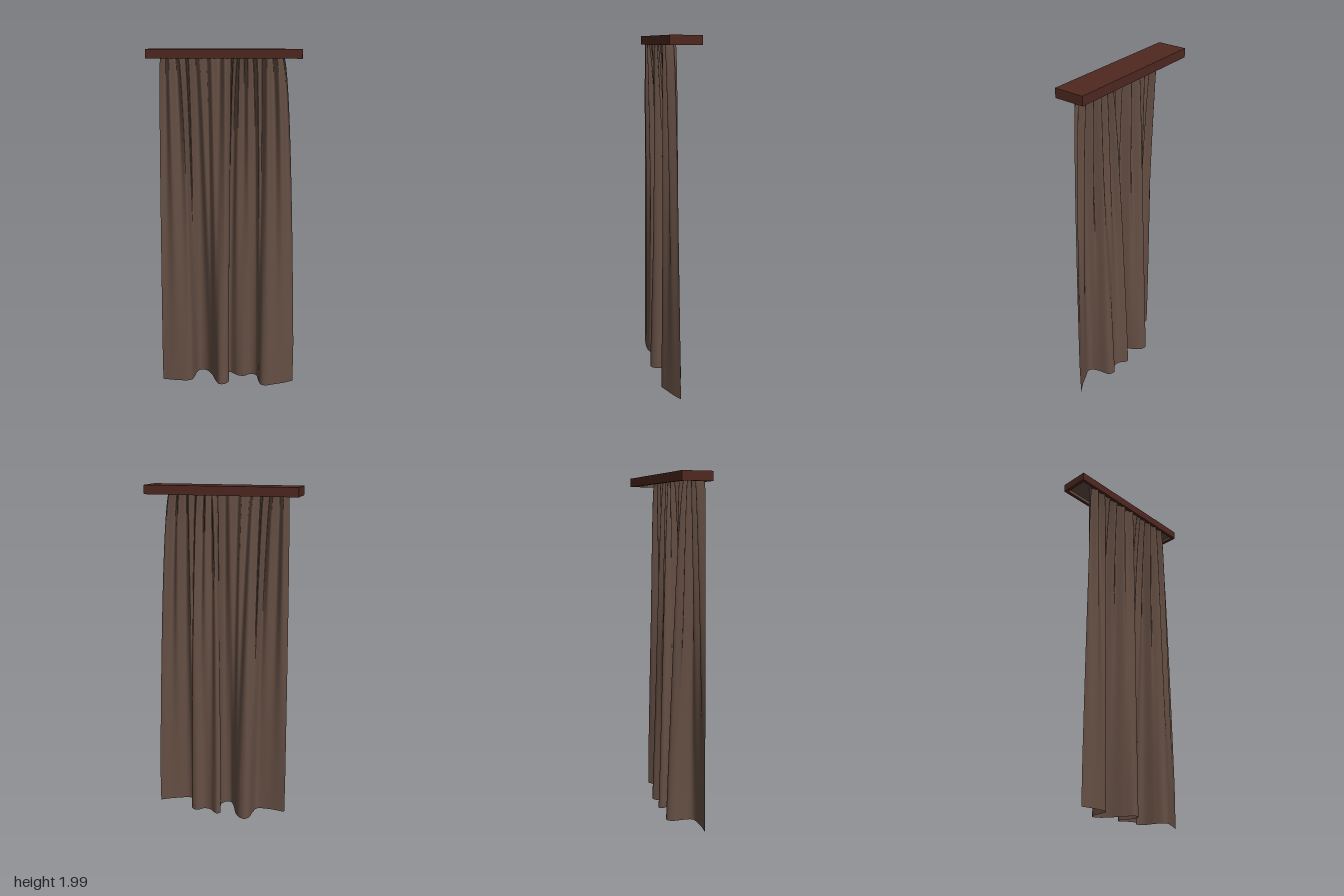
import * as THREE from 'three';

const wood = new THREE.MeshStandardMaterial({ color: 0x4f2820 });
wood.name = 'dark red wood';
const fabric = new THREE.MeshStandardMaterial({ color: 0x654f44, side: THREE.DoubleSide });
fabric.name = 'brown fabric';

const HEM = 0.006, TOP = 1.965; // the cloth's top is tucked inside the pelmet
const WIDTH = 0.86, DEPTH = 0.17, Z = -0.015, WALL = 0.016;

function add(group, name, geometry, material) {
  const mesh = new THREE.Mesh(geometry, material);
  mesh.name = name;
  group.add(mesh);
}

// Horizontal rectangular frame of the given wall thickness, standing on y
function frame(w, d, wall, h, y) {
  const rect = (P, a, b) => new P([
    new THREE.Vector2(-a, -b), new THREE.Vector2(a, -b),
    new THREE.Vector2(a, b), new THREE.Vector2(-a, b)]);
  const shape = rect(THREE.Shape, w / 2, d / 2);
  shape.holes.push(rect(THREE.Path, w / 2 - wall, d / 2 - wall));
  return new THREE.ExtrudeGeometry(shape, { depth: h, bevelEnabled: false })
    .rotateX(-Math.PI / 2).translate(0, y, Z);
}

// Hanging cloth: tight gathers at the top open into broad folds at the hem
function curtainGeometry() {
  const hem = new THREE.CatmullRomCurve3([
    [-0.375, 0.07], [-0.27, 0.077], [-0.2, 0.063], [-0.185, 0.01], [-0.176, -0.055],
    [-0.155, -0.08], [-0.12, -0.072], [-0.085, -0.03], [-0.05, 0.05], [-0.02, 0.096],
    [0.01, 0.092], [0.032, 0.06], [0.024, 0], [0.01, -0.05], [0.03, -0.067],
    [0.08, -0.03], [0.12, -0.026], [0.16, -0.058], [0.196, -0.045], [0.216, 0.03],
    [0.235, 0.072], [0.262, 0.08], [0.31, 0.06], [0.37, 0.033], [0.425, 0],
  ].map(([x, z]) => new THREE.Vector3(x, 0, z)), false, 'centripetal');
  const columns = 240, rows = 48;
  const points = hem.getSpacedPoints(columns);
  const geometry = new THREE.PlaneGeometry(1, 1, columns, rows);
  const pos = geometry.attributes.position;
  for (let i = 0; i < pos.count; i++) {
    const c = i % (columns + 1);
    const t = (Math.floor(i / (columns + 1)) / rows) ** 1.3; // finer rows near the top
    const u = c / columns, p = points[c];
    const spread = Math.min(1, t / 0.88) ** 0.55;
    const gather = 0.026 * (1 - t) ** 1.6 * Math.sin(79 * u + 2.3);
    // the middle fold leans towards the left as it rises
    const topX = -0.348 + 0.675 * u + 0.045 * Math.exp(-(((u - 0.5) / 0.13) ** 2));
    const x = THREE.MathUtils.lerp(topX, p.x, spread);
    const z = THREE.MathUtils.lerp(0.039, p.z, t ** 0.72) + gather;
    pos.setXYZ(i, x, THREE.MathUtils.lerp(TOP, HEM, t), z);
  }
  geometry.computeVertexNormals();
  return geometry;
}

export function createModel() {
  const model = new THREE.Group();
  model.name = 'curtain';

  // Pelmet: shallow tray open underneath
  const pelmet = new THREE.Group();
  pelmet.name = 'pelmet';
  add(pelmet, 'pelmetTop', new THREE.BoxGeometry(WIDTH, 0.025, DEPTH).translate(0, 1.9875, Z), wood);
  add(pelmet, 'pelmetSides', frame(WIDTH, DEPTH, WALL, 0.025, 1.95), wood);

  // Fabric lining inside the tray
  const innerWidth = WIDTH - 2 * WALL, innerDepth = DEPTH - 2 * WALL;
  add(pelmet, 'liningSides', frame(innerWidth, innerDepth, 0.003, 0.024, 1.951), fabric);
  add(pelmet, 'liningTop',
    new THREE.BoxGeometry(innerWidth, 0.005, innerDepth).translate(0, 1.9725, Z), fabric);
  model.add(pelmet);

  add(model, 'drape', curtainGeometry(), fabric);
  return model;
}
